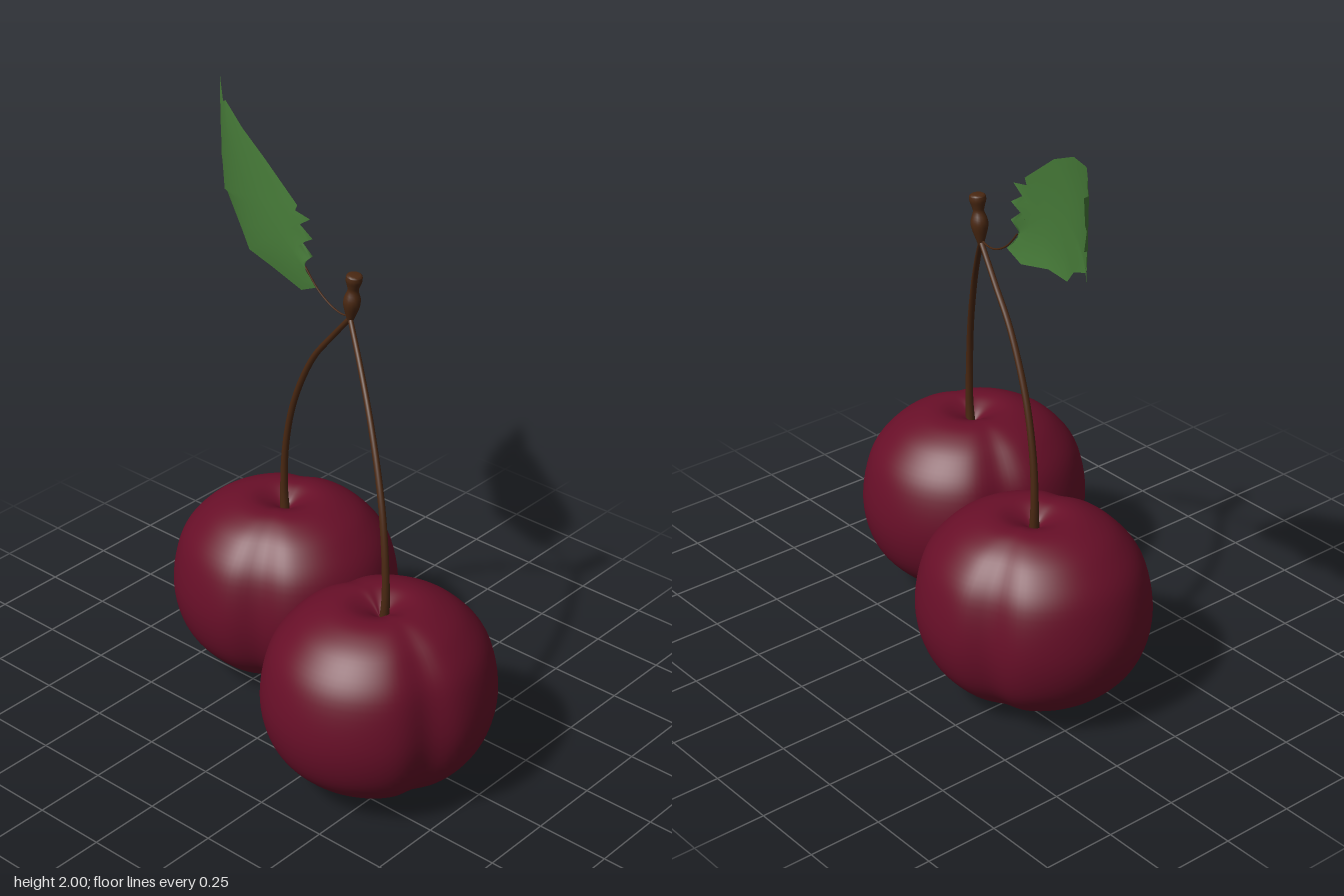
import * as THREE from 'three';
import { mergeVertices } from 'three/addons/utils/BufferGeometryUtils.js';

const v2 = (p) => new THREE.Vector2(...p);
const v3 = (p) => new THREE.Vector3(...p);

function addMesh(parent, name, geometry, material) {
  const mesh = new THREE.Mesh(geometry, material);
  mesh.name = name;
  parent.add(mesh);
  return mesh;
}

// Fruit: dimpled lathe, pinched along a seam that runs over both sides
function cherryGeometry(seamX, seamZ) {
  const profile = new THREE.SplineCurve([
    [0, 0.018], [0.07, 0.008], [0.16, 0.03], [0.28, 0.1], [0.36, 0.2], [0.39, 0.34],
    [0.36, 0.5], [0.285, 0.6], [0.2, 0.652], [0.12, 0.668], [0.05, 0.645], [0, 0.61],
  ].map(v2)).getPoints(60);
  profile[0].x = profile[60].x = 0;
  const lathe = new THREE.LatheGeometry(profile, 96);
  lathe.deleteAttribute('uv');
  lathe.deleteAttribute('normal');
  const geometry = mergeVertices(lathe, 1e-5);
  const pos = geometry.attributes.position;
  const seam = Math.atan2(seamX, seamZ);
  for (let i = 0; i < pos.count; i++) {
    const x = pos.getX(i), z = pos.getZ(i);
    const off = Math.atan2(x, z) - seam;
    const d = Math.asin(Math.min(1, Math.abs(Math.sin(off))));
    const k = 1 - 0.08 * Math.cos(off) ** 2 - 0.07 * Math.exp(-((d / 0.22) ** 2));
    pos.setXYZ(i, x * k, pos.getY(i), z * k);
  }
  geometry.computeVertexNormals();
  return geometry;
}

// Tube whose radius follows a function of the distance along it
function taperedTube(points, radiusAt, segments = 40, sides = 10) {
  const curve = new THREE.CatmullRomCurve3(points.map(v3));
  const geometry = new THREE.TubeGeometry(curve, segments, 1, sides);
  const pos = geometry.attributes.position;
  const p = new THREE.Vector3();
  for (let i = 0; i < pos.count; i++) {
    const t = Math.floor(i / (sides + 1)) / segments;
    const c = curve.getPointAt(t);
    p.fromBufferAttribute(pos, i).sub(c).multiplyScalar(radiusAt(t)).add(c);
    pos.setXYZ(i, p.x, p.y, p.z);
  }
  return geometry;
}

// Leaf: ribs run from the midrib to paired points of the toothed edges
function leafGeometry() {
  // Edge points from base to tip, as distance backwards and height
  const upper = [
    [0.135, 1.59], [0.09, 1.62], [0.14, 1.66], [0.09, 1.68], [0.145, 1.715],
    [0.1, 1.745], [0.165, 1.757], [0.155, 1.778], [0.31, 1.89], [0.44, 1.947],
    [0.585, 1.98], [0.62, 1.96], [0.72, 2.0], [0.68, 1.942], [0.77, 1.99],
  ].map(v2);
  const lower = [
    [0.115, 1.555], [0.07, 1.518], [0.14, 1.487], [0.285, 1.524], [0.405, 1.534],
    [0.455, 1.587], [0.6, 1.66], [0.628, 1.645], [0.67, 1.725], [0.708, 1.725],
    [0.697, 1.783], [0.755, 1.82], [0.713, 1.852], [0.75, 1.895], [0.77, 1.99],
  ].map(v2);
  const base = v2([0.11, 1.575]), tip = v2([0.77, 1.99]);
  const half = 5, cols = 2 * half + 1, last = upper.length - 1;
  const verts = [], index = [];
  for (let i = 0; i <= last; i++) {
    const mid = base.clone().lerp(tip, (i / last) ** 1.3);
    for (let j = -half; j <= half; j++) {
      const s = Math.abs(j) / half;
      const p = mid.clone().lerp(j < 0 ? lower[i] : upper[i], s);
      const bend = 0.125 + 0.31 * (p.x / 0.77) ** 3;
      const cup = 0.012 * (s * s - 0.4) * (1 - i / last);
      verts.push(bend + cup, p.y, -p.x);
      if (i < last && j < half) {
        const a = i * cols + j + half, b = a + cols;
        index.push(a, b, b + 1, a, b + 1, a + 1);
      }
    }
  }
  const geometry = new THREE.BufferGeometry();
  geometry.setAttribute('position', new THREE.Float32BufferAttribute(verts, 3));
  geometry.setIndex(index);
  geometry.computeVertexNormals();
  return geometry;
}

export function createModel() {
  const model = new THREE.Group();
  model.name = 'cherryPair';
  const red = new THREE.MeshStandardMaterial({ name: 'cherryRed', color: 0x680f28 });
  const brown = new THREE.MeshStandardMaterial({ name: 'stemBrown', color: 0x4a2812 });
  const green = new THREE.MeshStandardMaterial({ name: 'leafGreen', color: 0x467a38, side: THREE.DoubleSide });

  // Two fruits
  addMesh(model, 'frontCherry', cherryGeometry(0.125, -0.32), red).position.set(-0.135, 0.004, 0.433);
  addMesh(model, 'backCherry', cherryGeometry(0.29, -0.135), red).position.set(0.172, -0.004, -0.25);

  // Two arched stems, thicker where they enter the fruit
  const stemRadius = (t) => 0.009 + 0.004 * (1 - t) + 0.006 * Math.exp(-t * 18);
  addMesh(model, 'frontStem', taperedTube([
    [-0.13, 0.6, 0.445], [-0.13, 0.7, 0.45], [-0.122, 0.85, 0.437], [-0.095, 1.02, 0.395],
    [-0.035, 1.22, 0.3], [0.03, 1.36, 0.2], [0.1, 1.475, 0.095],
  ], stemRadius), brown);
  addMesh(model, 'backStem', taperedTube([
    [0.175, 0.6, -0.255], [0.177, 0.7, -0.26], [0.173, 0.86, -0.248], [0.162, 1.05, -0.2],
    [0.142, 1.25, -0.1], [0.122, 1.37, 0.0], [0.1, 1.475, 0.095],
  ], stemRadius), brown);

  // Knobbly woody stub where the stems meet
  const stubProfile = new THREE.SplineCurve([
    [0.008, 0], [0.015, 0.02], [0.027, 0.06], [0.027, 0.085], [0.018, 0.112],
    [0.021, 0.13], [0.027, 0.15], [0.026, 0.165],
  ].map(v2)).getPoints(24);
  const stub = addMesh(model, 'woodyStub',
    new THREE.LatheGeometry([v2([0, 0]), ...stubProfile, v2([0.02, 0.17]), v2([0, 0.17])], 14), brown);
  stub.position.set(0.1, 1.463, 0.095);
  stub.rotation.x = 0.1;

  // Leaf on a thread-thin stalk
  addMesh(model, 'leafStalk', taperedTube([
    [0.1, 1.48, 0.09], [0.107, 1.475, 0.05], [0.115, 1.485, 0.0],
    [0.121, 1.52, -0.06], [0.124, 1.58, -0.115],
  ], () => 0.003, 24, 6), brown);
  addMesh(model, 'leaf', leafGeometry(), green);

  return model;
}
